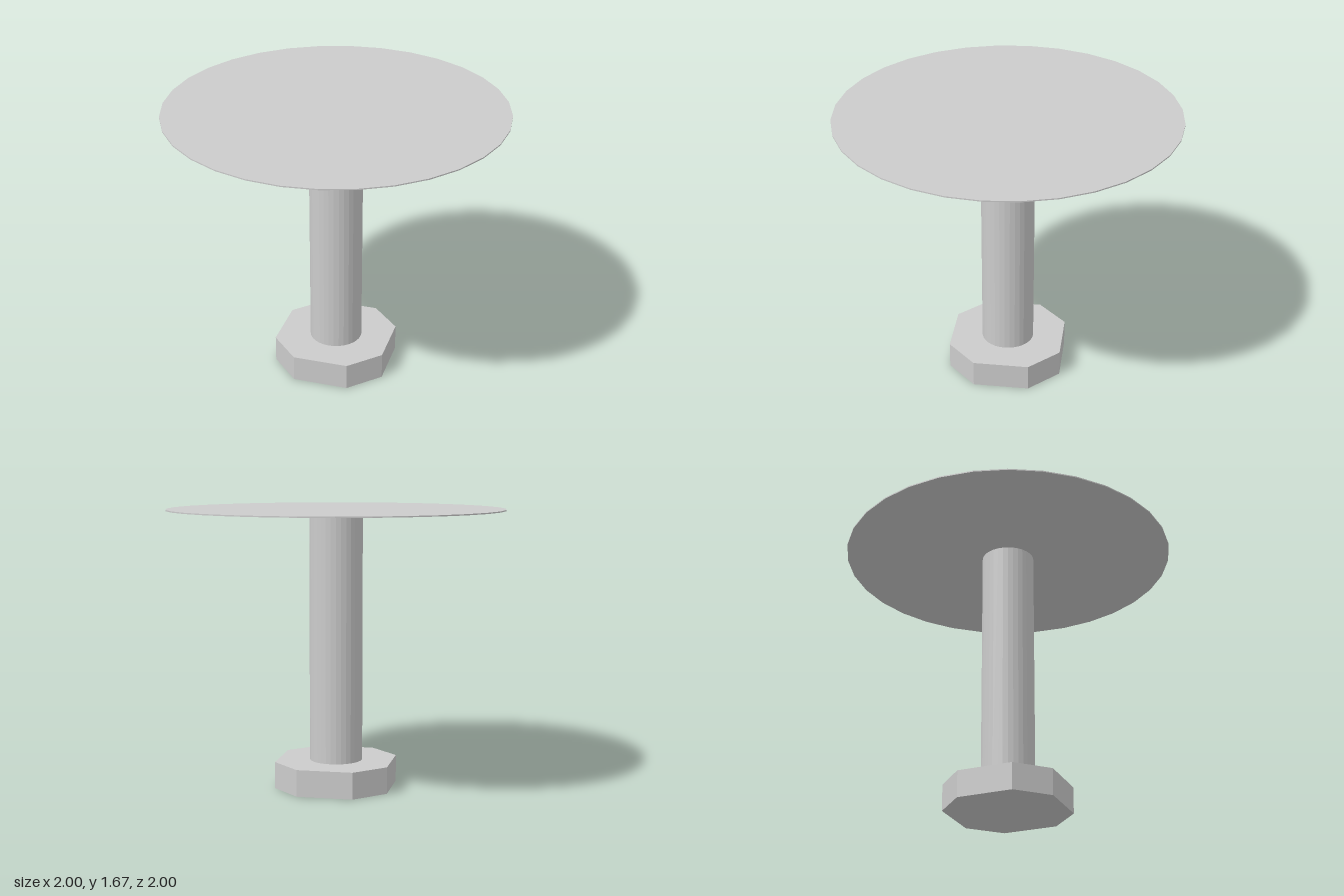
import * as THREE from 'three';

export function createModel() {
  const group = new THREE.Group();
  const material = new THREE.MeshStandardMaterial({ color: 0xcccccc, flatShading: true });

  const add = (name, geometry, y) => {
    const mesh = new THREE.Mesh(geometry, material);
    mesh.name = name;
    mesh.position.y = y;
    group.add(mesh);
  };

  // Base: square block with its four corners cut off
  const half = 0.34, cut = 0.166, baseHeight = 0.16;
  const outline = [];
  for (let i = 0; i < 4; i++) {
    const corner = new THREE.Vector2();
    for (const [x, y] of [[half, cut], [cut, half]]) {
      corner.set(x, y).rotateAround(new THREE.Vector2(), i * Math.PI / 2);
      outline.push(corner.clone());
    }
  }
  const base = new THREE.ExtrudeGeometry(new THREE.Shape(outline), { depth: baseHeight, bevelEnabled: false });
  base.rotateX(-Math.PI / 2);
  add('base', base, 0);

  // Column between the base and the top
  const topY = 1.667, topThickness = 0.007;
  const columnHeight = topY - topThickness - baseHeight;
  add('column', new THREE.CylinderGeometry(0.158, 0.158, columnHeight, 32), baseHeight + columnHeight / 2);

  // Thin round top
  add('tableTop', new THREE.CylinderGeometry(1, 1, topThickness, 32), topY - topThickness / 2);

  return group;
}
